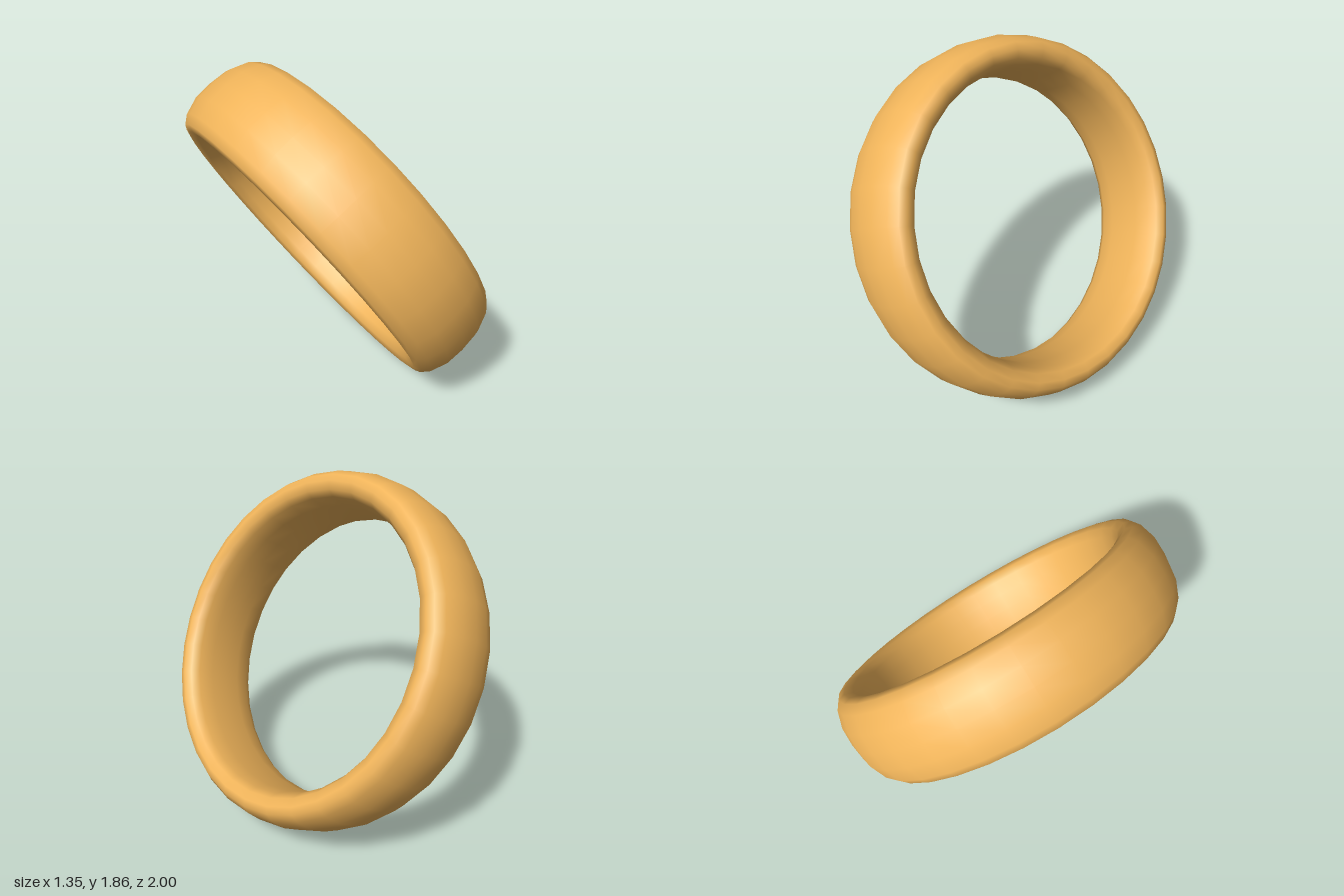
import * as THREE from 'three';

export function createModel() {
  const group = new THREE.Group();
  group.name = 'ring';

  // Half of the band's cross-section as [radius, distance along axis], inner face to crown
  const half = [
    [0.8, 0], [0.8, 0.1], [0.815, 0.19], [0.84, 0.235], [0.885, 0.253],
    [0.925, 0.243], [0.96, 0.2], [0.993, 0.105],
  ];
  const lower = half.map(([r, a]) => new THREE.Vector2(r, -a));
  const upper = half.map(([r, a]) => new THREE.Vector2(r, a)).reverse();
  const profile = [...lower, new THREE.Vector2(1, 0), ...upper];

  // Domed band, leaning 30 degrees to one side
  const band = new THREE.Mesh(
    new THREE.LatheGeometry(profile, 32),
    new THREE.MeshStandardMaterial({ color: 0xf0b45a })
  );
  band.name = 'band';
  band.rotation.z = -Math.PI / 3;
  band.position.y = 0.93;
  group.add(band);

  return group;
}
